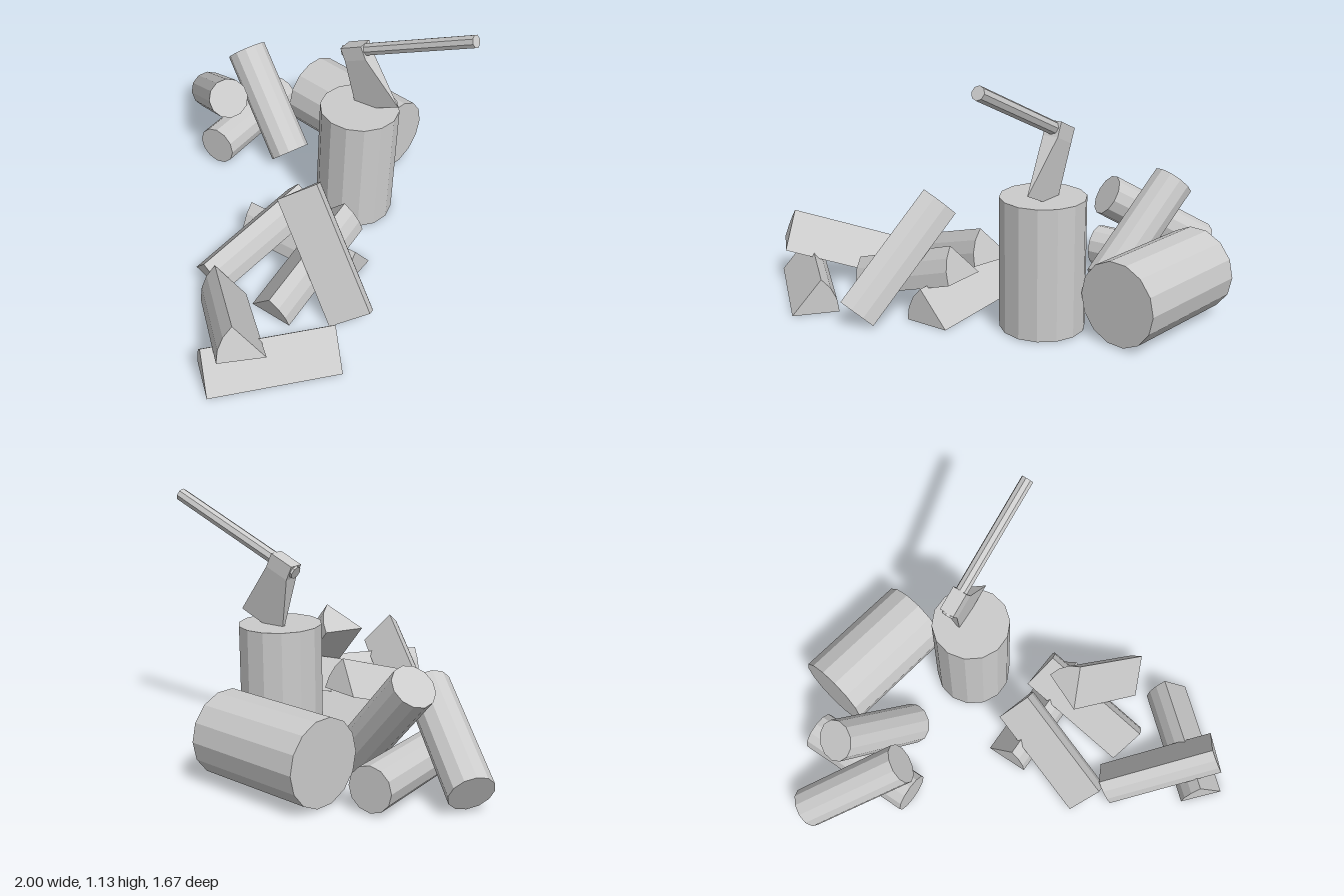
import * as THREE from 'three';

const material = new THREE.MeshStandardMaterial({ color: 0xcccccc, flatShading: true });
const vec = (a) => new THREE.Vector3(...a);

function addMesh(parent, name, geometry) {
  const mesh = new THREE.Mesh(geometry, material);
  mesh.name = name;
  parent.add(mesh);
  return mesh;
}

// Round log between two end centres, facets aligned with the horizontal
function roundLog(parent, name, start, end, radius, sides) {
  const a = vec(start), b = vec(end);
  const y = b.clone().sub(a);
  const mesh = addMesh(parent, name, new THREE.CylinderGeometry(radius, radius, y.length(), sides));
  y.normalize();
  const z = y.clone().cross(new THREE.Vector3(0, 1, 0)).normalize();
  const x = y.clone().cross(z);
  mesh.quaternion.setFromRotationMatrix(new THREE.Matrix4().makeBasis(x, y, z));
  mesh.position.copy(a).add(b).multiplyScalar(0.5);
}

// Split log: a 50 degree sector. start/end are the ends of its heart edge,
// side points from the heart edge along the underside to the bark.
function splitLog(parent, name, start, end, side) {
  const radius = 0.203, segments = 3, spread = THREE.MathUtils.degToRad(50);
  const shape = new THREE.Shape();
  shape.moveTo(0, 0);
  for (let i = 0; i <= segments; i++) {
    const t = (i / segments) * spread;
    shape.lineTo(radius * Math.cos(t), radius * Math.sin(t));
  }
  shape.closePath();
  const a = vec(start), z = vec(end).sub(a);
  const mesh = addMesh(parent, name,
    new THREE.ExtrudeGeometry(shape, { depth: z.length(), bevelEnabled: false }));
  z.normalize();
  const y = z.clone().cross(vec(side)).normalize();
  const x = y.clone().cross(z);
  mesh.quaternion.setFromRotationMatrix(new THREE.Matrix4().makeBasis(x, y, z));
  mesh.position.copy(a);
}

// Axe: poll block flaring into a blade that narrows to an edge
function axe() {
  const group = new THREE.Group();
  group.name = 'axe';
  const levels = [ // drop from the poll, half width, half length
    [0, 0.035, 0.0575],
    [0.065, 0.035, 0.0575],
    [0.325, 0.001, 0.118],
  ];
  const head = new THREE.BoxGeometry(2, 2, 2, 1, 2, 1);
  const p = head.attributes.position;
  for (let i = 0; i < p.count; i++) {
    const [drop, w, l] = levels[Math.round(1 - p.getY(i))];
    p.setXYZ(i, p.getX(i) * w, -drop, p.getZ(i) * l);
  }
  addMesh(group, 'axeHead', head);
  const handle = addMesh(group, 'axeHandle', new THREE.CylinderGeometry(0.029, 0.029, 0.684, 8));
  handle.rotation.x = Math.PI / 2;
  handle.position.set(0, -0.029, 0.274);
  group.position.set(0.403, 0.873, 0.227);
  group.rotation.x = THREE.MathUtils.degToRad(-25);
  return group;
}

export function createModel() {
  const model = new THREE.Group();
  model.name = 'woodChoppingSet';

  // Chopping block with the axe stuck in it
  const block = addMesh(model, 'choppingBlock', new THREE.CylinderGeometry(0.182, 0.182, 0.57, 14));
  block.position.set(0.365, 0.292, 0.295);
  model.add(axe());

  // Whole logs
  const logs = new THREE.Group();
  logs.name = 'wholeLogs';
  model.add(logs);
  roundLog(logs, 'thickLog', [0.817, 0.188, -0.243], [0.727, 0.188, 0.312], 0.182, 14);
  roundLog(logs, 'lyingLog', [0.22, 0.107, -0.428], [0.78, 0.107, -0.428], 0.097, 12);
  roundLog(logs, 'backLog', [0.59, 0.097, -0.765], [0.28, 0.38, -0.395], 0.097, 12);
  roundLog(logs, 'leaningLog', [0.43, 0.072, -0.125], [0.567, 0.472, -0.495], 0.097, 12);

  // Split logs
  const splits = new THREE.Group();
  splits.name = 'splitLogs';
  model.add(splits);
  const pieces = [
    [[-1, 0.004, 0.455], [-0.57, 0.004, 0.83], [0.13, 0, -0.155]],
    [[0.06, 0.002, 0.57], [0.06, 0.002, 0], [-1, 0, 0]],
    [[-0.81, 0.187, 0.615], [-0.44, 0.005, 0.24], [-1, 0, -1]],
    [[0.075, 0.19, 0.107], [-0.44, 0.01, -0.04], [-0.275, 0, 0.96]],
    [[0.06, 0.185, 0.328], [-0.475, 0.01, 0.3], [-0.05, 0, 1]],
    [[-0.237, 0.427, 0.26], [-0.388, 0.007, 0.645], [0.91, 0, 0.43]],
  ];
  pieces.forEach(([a, b, side], i) => splitLog(splits, `splitLog${i + 1}`, a, b, side));

  return model;
}
